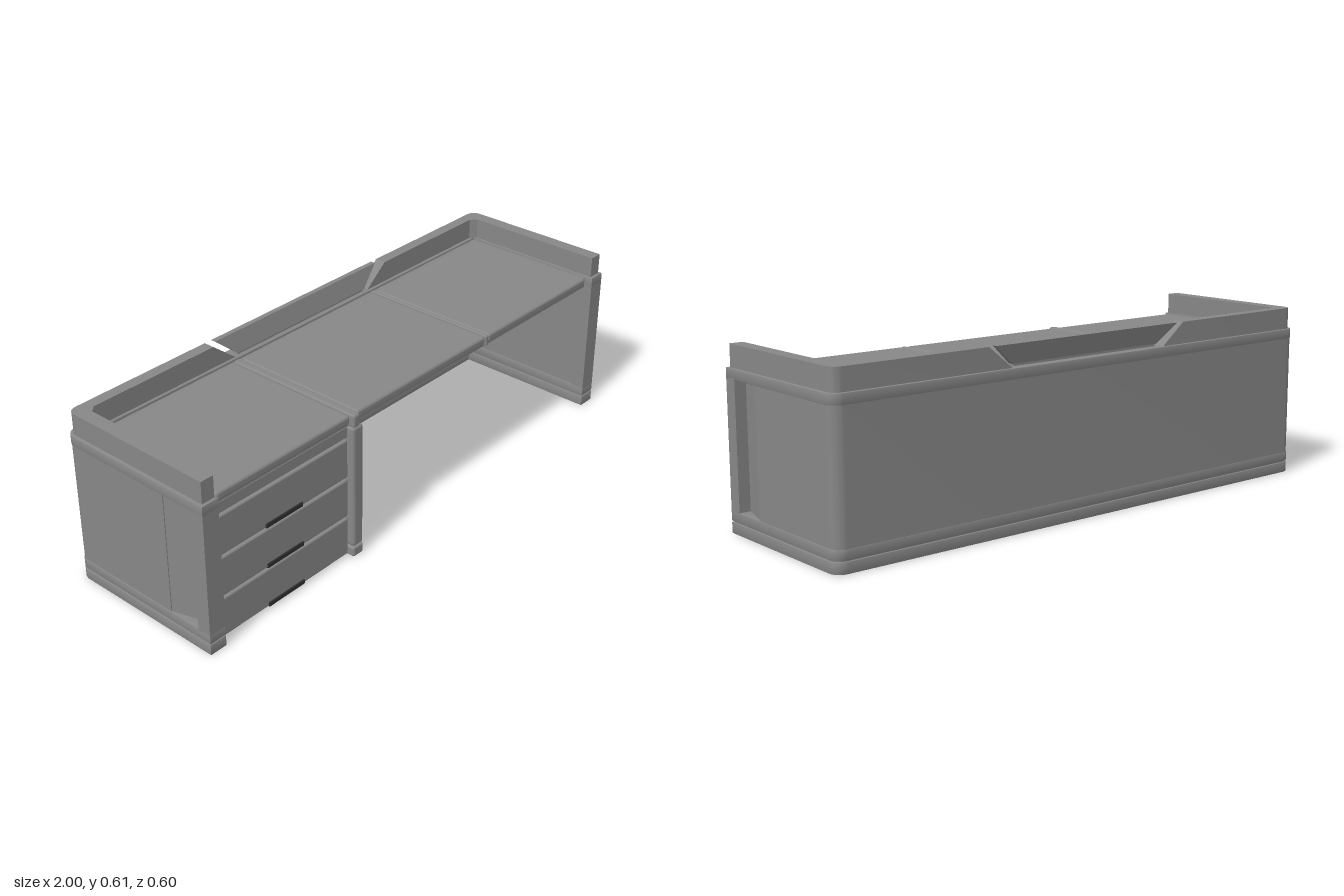
import * as THREE from 'three';
import { toCreasedNormals } from 'three/addons/utils/BufferGeometryUtils.js';
import { RoundedBoxGeometry } from 'three/addons/geometries/RoundedBoxGeometry.js';

const grey = new THREE.MeshStandardMaterial({ color: 0x878787 });
grey.name = 'desk grey';
const dark = new THREE.MeshStandardMaterial({ color: 0x303030 });
dark.name = 'handle dark grey';

function add(group, name, geometry, material = grey) {
  const mesh = new THREE.Mesh(geometry, material);
  mesh.name = name;
  group.add(mesh);
  return mesh;
}

// Box given by its limits; a radius rounds its edges
function box(group, name, x0, x1, y0, y1, z0, z1, radius = 0, material = grey) {
  const size = [x1 - x0, y1 - y0, z1 - z0];
  const geometry = radius
    ? new RoundedBoxGeometry(...size, 3, radius)
    : new THREE.BoxGeometry(...size);
  geometry.translate((x0 + x1) / 2, (y0 + y1) / 2, (z0 + z1) / 2);
  return add(group, name, geometry, material);
}

// Raise a plan outline (drawn with y = -z) from y0 to y1
function raise(shape, y0, y1, bevel = 0) {
  const geometry = new THREE.ExtrudeGeometry(shape, {
    depth: y1 - y0 - 2 * bevel, curveSegments: 8, bevelEnabled: bevel > 0,
    bevelSize: bevel, bevelOffset: -bevel, bevelThickness: bevel, bevelSegments: 2,
  });
  geometry.rotateX(-Math.PI / 2).translate(0, y0 + bevel, 0);
  return toCreasedNormals(geometry, 0.6);
}

// U-shaped plan, open to the front, with round outer back corners
function uPlan(halfWidth, front, back, innerX, innerBack, r) {
  const s = new THREE.Shape();
  s.moveTo(-halfWidth, -front);
  s.lineTo(-innerX, -front);
  s.lineTo(-innerX, -innerBack);
  s.lineTo(innerX, -innerBack);
  s.lineTo(innerX, -front);
  s.lineTo(halfWidth, -front);
  s.lineTo(halfWidth, -back - r);
  s.absarc(halfWidth - r, -back - r, r, 0, Math.PI / 2);
  s.lineTo(-halfWidth + r, -back);
  s.absarc(-halfWidth + r, -back - r, r, Math.PI / 2, Math.PI);
  s.closePath();
  return s;
}

// One half of the raised rail, its back end cut on a slant
function railHalf(side) {
  const s = new THREE.Shape();
  s.moveTo(side * 0.99, -0.29);
  s.lineTo(side * 0.99, 0.255);
  s.quadraticCurveTo(side * 0.99, 0.29, side * 0.955, 0.29);
  s.lineTo(side * 0.33, 0.29);
  s.lineTo(side * 0.33, 0.25);
  s.lineTo(side * 0.92, 0.25);
  s.lineTo(side * 0.942, 0.23);
  s.lineTo(side * 0.942, -0.29);
  s.closePath();
  const geometry = raise(s, 0.535, 0.61);
  const p = geometry.attributes.position;
  for (let i = 0; i < p.count; i++) {
    if (Math.abs(p.getX(i)) < 0.5) p.setX(i, side * (0.33 + (p.getY(i) - 0.535) * 1.25));
  }
  return toCreasedNormals(geometry, 0.6);
}

export function createModel() {
  const desk = new THREE.Group();
  desk.name = 'desk';

  // Outer shell: plinth, seam, bands and walls
  const full = uPlan(1, 0.3, -0.3, 0.937, -0.24, 0.04);
  add(desk, 'plinth', raise(full, 0, 0.038, 0.002));
  add(desk, 'plinthSeam', raise(uPlan(0.995, 0.295, -0.295, 0.94, -0.242, 0.037), 0.03, 0.05));
  add(desk, 'lowerBand', raise(full, 0.041, 0.075, 0.002));
  add(desk, 'wallPanels', raise(uPlan(0.998, 0.13, -0.299, 0.94, -0.242, 0.039), 0.07, 0.505));
  add(desk, 'upperBand', raise(full, 0.5, 0.535, 0.002));

  for (const side of [-1, 1]) {
    const x = (a, b) => (side > 0 ? [a, b] : [-b, -a]);
    box(desk, 'frontPost', ...x(0.937, 1), 0.07, 0.505, 0.25, 0.3);
    // Slanted bottom of the side recess, deepest behind the front post
    const ramp = new THREE.Shape([
      new THREE.Vector2(side * 0.94, -0.25), new THREE.Vector2(side * 0.96, -0.25),
      new THREE.Vector2(side * 0.995, -0.13), new THREE.Vector2(side * 0.94, -0.13),
    ]);
    add(desk, 'sideRecess', raise(ramp, 0.07, 0.505));
    add(desk, 'raisedRail', railHalf(side));
  }

  // Tilted flap in the gap of the back rail, on a low sill
  const flap = new THREE.Shape([
    new THREE.Vector2(-0.315, 0.543), new THREE.Vector2(0.315, 0.543),
    new THREE.Vector2(0.395, 0.61), new THREE.Vector2(-0.395, 0.61),
  ]);
  const flapGeometry = new THREE.ExtrudeGeometry(flap, { depth: 0.018, bevelEnabled: false });
  const p = flapGeometry.attributes.position;
  for (let i = 0; i < p.count; i++) p.setZ(i, p.getZ(i) - 0.27 - (p.getY(i) - 0.543) * 0.3);
  flapGeometry.computeVertexNormals();
  add(desk, 'backFlap', flapGeometry);
  box(desk, 'flapSill', -0.31, 0.31, 0.53, 0.544, -0.268, -0.256);

  // Desktop with three soft-edged panels and two dividing strips
  box(desk, 'desktopSlab', -0.94, 0.94, 0.49, 0.526, -0.245, 0.268);
  for (const [x0, x1] of [[-0.925, -0.355], [-0.323, 0.33], [0.347, 0.925]]) {
    box(desk, 'desktopPanel', x0, x1, 0.502, 0.534, -0.228, 0.28, 0.01);
  }
  box(desk, 'wideDivider', -0.354, -0.324, 0.49, 0.536, -0.235, 0.295, 0.008);
  box(desk, 'narrowDivider', 0.331, 0.346, 0.495, 0.535, -0.235, 0.282, 0.006);

  // Drawer cabinet
  box(desk, 'cabinetBody', -0.94, -0.33, 0.02, 0.492, -0.245, 0.255);
  box(desk, 'partition', -0.357, -0.308, 0.039, 0.492, -0.245, 0.295, 0.012);
  box(desk, 'partitionFoot', -0.357, -0.308, 0, 0.037, -0.245, 0.295, 0.008);
  box(desk, 'backCornerPost', -0.315, -0.24, 0.03, 0.492, -0.245, -0.17);
  box(desk, 'cabinetTopStrip', -0.93, -0.36, 0.453, 0.49, 0.25, 0.27);
  for (const y of [0.01, 0.158, 0.306]) {
    box(desk, 'drawerFront', -0.928, -0.36, y, y + 0.141, 0.245, 0.275, 0.007);
    box(desk, 'drawerHandle', -0.73, -0.57, y, y + 0.017, 0.262, 0.279, 0.003, dark);
  }
  return desk;
}
